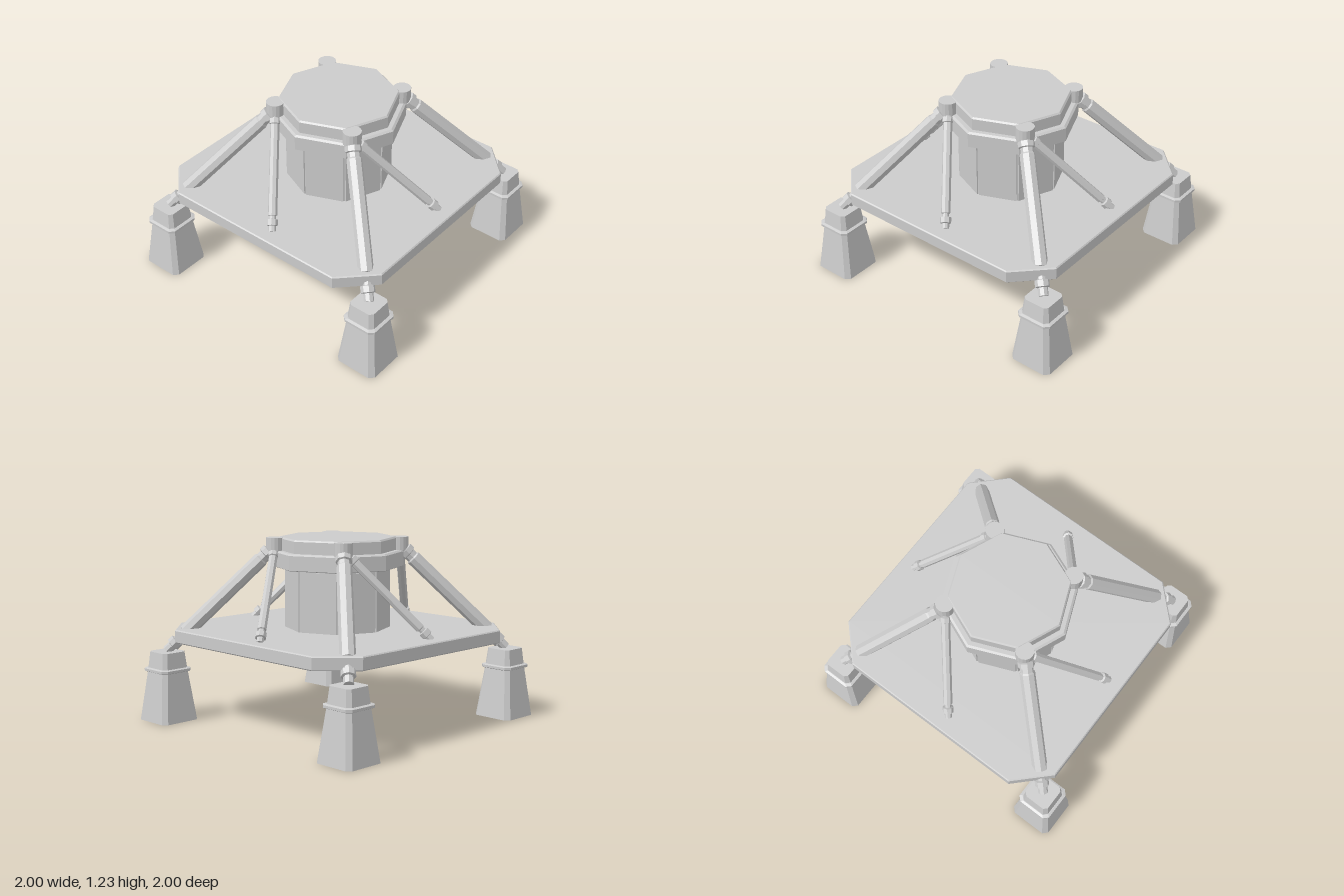
import * as THREE from 'three';

const material = new THREE.MeshStandardMaterial({ color: 0xcccccc, flatShading: true });

function add(parent, name, geometry, x = 0, y = 0, z = 0) {
  const mesh = new THREE.Mesh(geometry, material);
  mesh.name = name;
  mesh.position.set(x, y, z);
  parent.add(mesh);
  return mesh;
}

// Stacks square sections with cut corners, given as [half width, corner cut, height].
function loftSquares(sections) {
  const positions = [], index = [];
  for (const [h, c, y] of sections) {
    const k = h - c;
    for (const [x, z] of [[h, -k], [h, k], [k, h], [-k, h], [-h, k], [-h, -k], [-k, -h], [k, -h]]) {
      positions.push(x, y, z);
    }
  }
  for (let s = 0; s < sections.length - 1; s++) {
    for (let i = 0; i < 8; i++) {
      const a = s * 8 + i, b = s * 8 + (i + 1) % 8;
      index.push(a, a + 8, b, b, a + 8, b + 8);
    }
  }
  const top = (sections.length - 1) * 8;
  for (let i = 1; i < 7; i++) {
    index.push(0, i, i + 1);
    index.push(top, top + i + 1, top + i);
  }
  const geometry = new THREE.BufferGeometry();
  geometry.setAttribute('position', new THREE.Float32BufferAttribute(positions, 3));
  geometry.setIndex(index);
  geometry.computeVertexNormals();
  return geometry;
}

// Eight-sided body turned from [radius, height] points, with corners on the axes.
function octagon(points) {
  return new THREE.LatheGeometry(points.map(([r, y]) => new THREE.Vector2(r, y)), 8);
}

// Stepped rod from a to b; the profile gives [radius, fraction of the length].
function strut(parent, name, a, b, profile) {
  const length = a.distanceTo(b);
  const points = profile.map(([r, t]) => new THREE.Vector2(r, t * length));
  const mesh = add(parent, name, new THREE.LatheGeometry(points, 8), a.x, a.y, a.z);
  mesh.quaternion.setFromUnitVectors(new THREE.Vector3(0, 1, 0), b.clone().sub(a).normalize());
  return mesh;
}

function createLeg() {
  const leg = new THREE.Group();
  leg.name = 'leg';
  const shoulder = new THREE.Vector3(0.32, 1.17, 0.265);
  const ankle = new THREE.Vector3(0.855, 0.47, 0.76);
  const brace = new THREE.Vector3(0.765, 0.615, -0.08);

  // Round head and tapered bracket beside the collar
  add(leg, 'legHead', new THREE.CylinderGeometry(0.06, 0.06, 0.09, 16), 0.32, 1.18, 0.265);
  add(leg, 'legBracket', new THREE.CylinderGeometry(0.058, 0.03, 0.1, 8), 0.315, 1.085, 0.26);

  // Main strut through the deck, with a thin piston at each end
  strut(leg, 'mainStrut', shoulder, ankle, [
    [0, 0], [0.036, 0], [0.036, 0.045], [0.054, 0.05], [0.054, 0.085],
    [0.042, 0.09], [0.042, 0.12], [0.05, 0.13], [0.05, 0.82],
    [0.03, 0.83], [0.03, 0.9], [0.046, 0.905], [0.046, 0.945], [0.032, 0.95], [0.032, 1], [0, 1],
  ]);

  // Slim side brace down to the deck
  strut(leg, 'sideBrace', shoulder, brace, [
    [0, 0], [0.026, 0], [0.026, 0.08], [0.038, 0.085], [0.038, 0.125],
    [0.03, 0.13], [0.03, 0.87], [0.022, 0.875], [0.022, 0.9],
    [0.036, 0.905], [0.036, 0.95], [0.024, 0.955], [0.024, 1], [0, 1],
  ]);

  // Tapered foot with a raised band
  add(leg, 'foot', loftSquares([
    [0.147, 0.03, 0], [0.105, 0.026, 0.335], [0.09, 0.022, 0.465],
  ]), 0.853, 0, 0.758);
  add(leg, 'footBand', loftSquares([
    [0.108, 0.026, 0.33], [0.122, 0.03, 0.336], [0.122, 0.03, 0.352], [0.106, 0.026, 0.358],
  ]), 0.853, 0, 0.758);
  return leg;
}

export function createModel() {
  const model = new THREE.Group();
  model.name = 'landingPlatform';

  // Square deck with cut corners
  add(model, 'deck', loftSquares([
    [0.86, 0.212, 0.533], [0.867, 0.215, 0.54], [0.867, 0.215, 0.615], [0.86, 0.212, 0.622],
  ]));

  // Eight-sided drum, collar and cap
  add(model, 'drum', octagon([[0, 0.615], [0.346, 0.615], [0.346, 1.03], [0, 1.03]]));
  add(model, 'collar', octagon([
    [0, 1.03], [0.43, 1.03], [0.44, 1.035], [0.44, 1.13], [0.425, 1.14], [0, 1.14],
  ]));
  add(model, 'cap', octagon([
    [0, 1.13], [0.395, 1.13], [0.395, 1.218], [0.385, 1.228], [0, 1.228],
  ]));

  // Flat panels around the drum
  const apothem = 0.346 * Math.cos(Math.PI / 8);
  for (let i = 0; i < 8; i++) {
    const angle = (i + 0.5) * Math.PI / 4;
    const panel = add(model, 'drumPanel', new THREE.BoxGeometry(0.255, 0.395, 0.016),
      Math.sin(angle) * apothem, 0.82, Math.cos(angle) * apothem);
    panel.rotation.y = angle;
  }

  // Four identical legs, turned a quarter each
  for (let i = 0; i < 4; i++) {
    const leg = createLeg();
    leg.rotation.y = -i * Math.PI / 2;
    model.add(leg);
  }
  return model;
}
